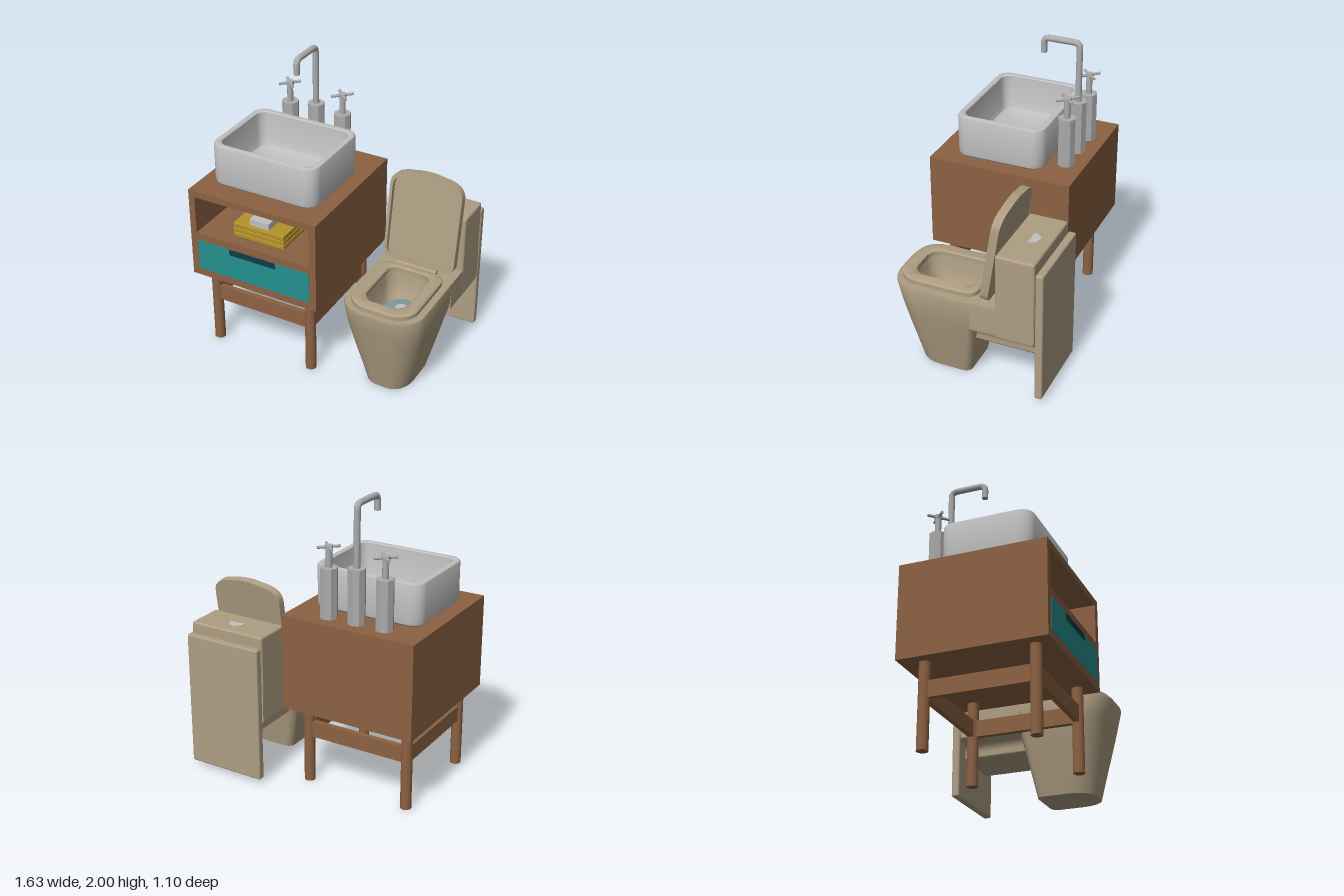
import * as THREE from 'three';
import { toCreasedNormals } from 'three/addons/utils/BufferGeometryUtils.js';
import { RoundedBoxGeometry } from 'three/addons/geometries/RoundedBoxGeometry.js';

const mat = (name, color) => Object.assign(new THREE.MeshStandardMaterial({ color }), { name });

// Rounded rectangle in the xz plane: half width, back and front z, corner radii [x, z] at back and front
function ring(y, w, zb, zf, back, front, x0 = 0) {
  const pts = [], n = 7;
  for (let q = 0; q < 4; q++) {
    const [rx, rz] = q < 2 ? front : back;
    const sx = q === 0 || q === 3 ? 1 : -1;
    const cx = sx * (w - rx), cz = q < 2 ? zf - rz : zb + rz;
    for (let i = 0; i <= n; i++) {
      const a = (q + i / n) * Math.PI / 2;
      pts.push([x0 + cx + rx * Math.cos(a), y, cz + rz * Math.sin(a)]);
    }
  }
  return pts;
}

// Skin over a list of equal-length rings
function loft(rings, crease = 0.6) {
  const n = rings[0].length, idx = [];
  for (let r = 0; r < rings.length - 1; r++) for (let i = 0; i < n; i++) {
    const a = r * n + i, b = r * n + (i + 1) % n;
    idx.push(a, a + n, b, b, a + n, b + n);
  }
  const g = new THREE.BufferGeometry();
  g.setAttribute('position', new THREE.Float32BufferAttribute(rings.flat(2), 3));
  g.setIndex(idx);
  return toCreasedNormals(g, crease);
}

// Rounded outline in the xy plane with separate lower and upper corner radii
function outline(S, w, y0, y1, rb, rt) {
  const s = new S();
  s.moveTo(-w + rb, y0).lineTo(w - rb, y0).quadraticCurveTo(w, y0, w, y0 + rb);
  s.lineTo(w, y1 - rt * 0.8).bezierCurveTo(w, y1 - rt * 0.3, w - rt * 0.35, y1 - 0.02, w - rt, y1 - 0.01);
  s.quadraticCurveTo(0, y1 + 0.01, -w + rt, y1 - 0.01);
  s.bezierCurveTo(-w + rt * 0.35, y1 - 0.02, -w, y1 - rt * 0.3, -w, y1 - rt * 0.8);
  s.lineTo(-w, y0 + rb).quadraticCurveTo(-w, y0, -w + rb, y0);
  return s;
}

const rectPath = (S, x0, x1, y0, y1) =>
  new S().moveTo(x0, y0).lineTo(x1, y0).lineTo(x1, y1).lineTo(x0, y1).closePath();

export function createModel() {
  const root = new THREE.Group();
  root.name = 'bathroomSet';
  const wood = mat('wood', 0x8c6242), beige = mat('beigeCeramic', 0xae9e83), teal = mat('tealDrawer', 0x249090);
  const dark = mat('darkHandle', 0x0e3c46), white = mat('greyCeramic', 0xc0c0c0), metal = mat('metal', 0xacacac);
  const yellow = mat('yellowTowel', 0xb4922a), water = mat('water', 0x7c9a99);

  const add = (parent, name, geo, m, x = 0, y = 0, z = 0) => {
    const mesh = new THREE.Mesh(geo, m);
    mesh.name = name;
    mesh.position.set(x, y, z);
    parent.add(mesh);
    return mesh;
  };
  // Box given by its limits
  const box = (parent, name, m, x0, x1, y0, y1, z0, z1, r = 0) => {
    const s = [x1 - x0, y1 - y0, z1 - z0];
    const g = r ? new RoundedBoxGeometry(...s, 3, r) : new THREE.BoxGeometry(...s);
    return add(parent, name, g, m, (x0 + x1) / 2, (y0 + y1) / 2, (z0 + z1) / 2);
  };
  const group = (name) => {
    const g = new THREE.Group();
    g.name = name;
    root.add(g);
    return g;
  };

  // Cabinet with an open shelf and a drawer
  const cabinet = group('cabinet');
  const front = rectPath(THREE.Shape, -0.815, 0.13, 0.565, 1.21);
  front.holes.push(rectPath(THREE.Path, -0.77, 0.08, 0.895, 1.165));
  add(cabinet, 'shelfFrame', new THREE.ExtrudeGeometry(front, { depth: 0.395, bevelEnabled: false }), wood, 0, 0, 0.15);
  box(cabinet, 'cabinetBack', wood, -0.815, 0.13, 0.565, 1.21, -0.44, 0.15);
  box(cabinet, 'drawerFront', teal, -0.76, 0.08, 0.62, 0.84, 0.542, 0.548);
  box(cabinet, 'drawerHandle', dark, -0.515, -0.17, 0.8, 0.84, 0.545, 0.552);

  // Legs and rails
  const legX = [-0.71, 0.02], legZ = [0.43, -0.29];
  for (const x of legX) for (const z of legZ)
    add(cabinet, 'leg', new THREE.CylinderGeometry(0.037, 0.037, 0.57, 16), wood, x, 0.285, z);
  for (const z of legZ) box(cabinet, 'crossRail', wood, legX[0], legX[1], 0.33, 0.44, z - 0.018, z + 0.018);
  for (const x of legX) box(cabinet, 'sideRail', wood, x - 0.018, x + 0.018, 0.33, 0.44, legZ[1], legZ[0]);

  // Folded towels and soap
  const towels = group('towels');
  for (let i = 0; i < 3; i++) {
    const y = 0.896 + i * 0.035;
    box(towels, 'towel', yellow, -0.535, -0.155, y, y + 0.032, 0.17, 0.46, 0.006);
  }
  box(towels, 'towelCore', yellow, -0.53, -0.16, 0.896, 0.995, 0.175, 0.455);
  box(towels, 'soap', white, -0.42, -0.275, 1.0, 1.045, 0.32, 0.44);

  // Basin: outside, rim, then down the inside
  const sinkRing = (y, d, r) => ring(y, 0.385 - d, -0.21 + d, 0.405 - d, [r, r], [r, r], -0.345);
  add(root, 'basin', loft([
    sinkRing(1.21, 0.3, 0.002), sinkRing(1.21, 0.02, 0.08), sinkRing(1.225, 0.004, 0.085), sinkRing(1.25, 0, 0.085),
    sinkRing(1.488, 0, 0.085), sinkRing(1.497, 0.004, 0.083), sinkRing(1.5, 0.012, 0.08),
    sinkRing(1.5, 0.035, 0.07), sinkRing(1.494, 0.042, 0.068), sinkRing(1.3, 0.056, 0.07),
    sinkRing(1.265, 0.07, 0.07), sinkRing(1.25, 0.1, 0.06), sinkRing(1.25, 0.3, 0.002),
  ]), white);

  // Spout and taps
  const faucet = group('faucet');
  const column = (x, top, r) => {
    const g = new THREE.CylinderGeometry(r, r, top - 1.21, 8).toNonIndexed();
    g.computeVertexNormals();
    add(faucet, 'column', g, metal, x, (top + 1.21) / 2, -0.31);
  };
  column(-0.345, 1.575, 0.058);
  const V = (y, z) => new THREE.Vector3(-0.345, y, z);
  const path = new THREE.CurvePath();
  path.add(new THREE.LineCurve3(V(1.56, -0.31), V(1.94, -0.31)));
  path.add(new THREE.QuadraticBezierCurve3(V(1.94, -0.31), V(1.98, -0.31), V(1.98, -0.27)));
  path.add(new THREE.LineCurve3(V(1.98, -0.27), V(1.98, -0.105)));
  path.add(new THREE.QuadraticBezierCurve3(V(1.98, -0.105), V(1.98, -0.065), V(1.94, -0.065)));
  path.add(new THREE.LineCurve3(V(1.94, -0.065), V(1.88, -0.065)));
  add(faucet, 'spout', new THREE.TubeGeometry(path, 80, 0.021, 12), metal);
  add(faucet, 'spoutEnd', new THREE.CylinderGeometry(0.021, 0.021, 0.006, 12), metal, -0.345, 1.882, -0.065);
  for (const x of [-0.545, -0.145]) {
    column(x, 1.545, 0.058);
    add(faucet, 'tapStem', new THREE.CylinderGeometry(0.021, 0.021, 0.15, 10), metal, x, 1.61, -0.31);
    add(faucet, 'tapHub', new THREE.CylinderGeometry(0.027, 0.027, 0.026, 10), metal, x, 1.675, -0.31);
    for (const a of [Math.PI / 4, -Math.PI / 4]) {
      const arm = add(faucet, 'tapArm', new THREE.CylinderGeometry(0.01, 0.01, 0.15, 8), metal, x, 1.677, -0.31);
      arm.rotation.set(0, a, Math.PI / 2, 'YXZ');
    }
  }

  // Toilet
  const toilet = group('toilet');
  toilet.position.x = 0.533;
  box(toilet, 'backPanel', beige, -0.278, 0.278, 0.035, 0.97, -0.545, -0.492, 0.012);
  box(toilet, 'cistern', beige, -0.278, 0.278, 0.43, 1.04, -0.488, -0.225, 0.015);

  // Bridge between bowl and cistern, narrowing underneath
  const bridge = new THREE.Shape();
  bridge.moveTo(-0.17, 0.31).lineTo(0.17, 0.31).quadraticCurveTo(0.19, 0.31, 0.19, 0.33).lineTo(0.19, 0.36);
  bridge.quadraticCurveTo(0.2, 0.41, 0.255, 0.425).quadraticCurveTo(0.277, 0.43, 0.277, 0.455).lineTo(0.277, 0.644);
  bridge.lineTo(-0.277, 0.644).lineTo(-0.277, 0.455).quadraticCurveTo(-0.277, 0.43, -0.255, 0.425);
  bridge.quadraticCurveTo(-0.2, 0.41, -0.19, 0.36).lineTo(-0.19, 0.33).quadraticCurveTo(-0.19, 0.31, -0.17, 0.31);
  const bridgeGeo = new THREE.ExtrudeGeometry(bridge, { depth: 0.435, bevelEnabled: false, curveSegments: 6 });
  add(toilet, 'bridge', toCreasedNormals(bridgeGeo, 0.6), beige, 0, 0, -0.485);

  // Bowl: outside, rim, then down the inside
  const outer = (y, w, zb, zf, rb = 0.05) => ring(y, w, zb, zf, [rb, rb], [w * 0.72, 0.16]);
  const inner = (y, w, zb, zf) => ring(y, w, zb, zf, [w * 0.6, 0.09], [w * 0.65, 0.11]);
  add(toilet, 'bowl', loft([
    ring(0, 0.002, 0.19, 0.2, [0.001, 0.001], [0.001, 0.001]),
    outer(0, 0.16, 0.01, 0.39), outer(0.15, 0.197, -0.018, 0.422), outer(0.3, 0.232, -0.045, 0.455),
    outer(0.42, 0.257, -0.075, 0.481), outer(0.5, 0.272, -0.14, 0.498), outer(0.63, 0.278, -0.22, 0.528, 0.02),
    outer(0.645, 0.274, -0.222, 0.526, 0.02),
    inner(0.645, 0.16, -0.03, 0.42), inner(0.56, 0.15, -0.02, 0.4), inner(0.47, 0.135, 0.01, 0.36),
    inner(0.4, 0.1, 0.05, 0.31), ring(0.38, 0.002, 0.17, 0.18, [0.001, 0.001], [0.001, 0.001]),
  ]), beige);
  const pool = add(toilet, 'water', new THREE.CircleGeometry(1, 20), water, 0, 0.465, 0.18);
  pool.rotation.x = -Math.PI / 2;
  pool.scale.set(0.124, 0.165, 1);
  add(toilet, 'drain', new THREE.CylinderGeometry(0.042, 0.042, 0.006, 12), white, 0, 0.466, 0.12);

  // Seat ring
  const seat = (y, d) => ring(y, 0.23 - d, -0.065 + d, 0.495 - d, [0.08, 0.08], [0.15, 0.14]);
  const hole = (y, d) => ring(y, 0.148 + d, -0.015 - d, 0.41 + d, [0.06, 0.06], [0.09, 0.09]);
  add(toilet, 'seat', loft([hole(0.647, 0), seat(0.647, 0), seat(0.675, 0), seat(0.684, 0.012),
    hole(0.684, 0.01), hole(0.676, 0), hole(0.647, 0)]), beige);
  const hinge = add(toilet, 'hinge', new THREE.CylinderGeometry(0.018, 0.018, 0.3, 12), beige, 0, 0.668, -0.088);
  hinge.rotation.z = Math.PI / 2;

  // Raised lid with a recessed inner face
  const lid = new THREE.Group();
  lid.name = 'lid';
  lid.position.set(0, 0.657, -0.16);
  lid.rotation.x = -0.16;
  toilet.add(lid);
  const lidShape = outline(THREE.Shape, 0.256, 0, 0.655, 0.07, 0.16);
  const rim = outline(THREE.Shape, 0.256, 0, 0.655, 0.07, 0.16);
  rim.holes.push(outline(THREE.Path, 0.236, 0.022, 0.63, 0.06, 0.15));
  const slab = (s, depth) =>
    toCreasedNormals(new THREE.ExtrudeGeometry(s, { depth, bevelEnabled: false, curveSegments: 8 }), 0.6);
  add(lid, 'lidPanel', slab(lidShape, 0.022), beige);
  add(lid, 'lidRim', slab(rim, 0.032), beige, 0, 0, 0.022);

  // Half-round flush button
  const button = add(toilet, 'flushButton',
    new THREE.CylinderGeometry(0.056, 0.056, 0.008, 16, 1, false, Math.PI / 2, Math.PI), metal, 0, 1.042, -0.352);
  button.material = white;
  button.scale.z = 1.1;

  return root;
}
